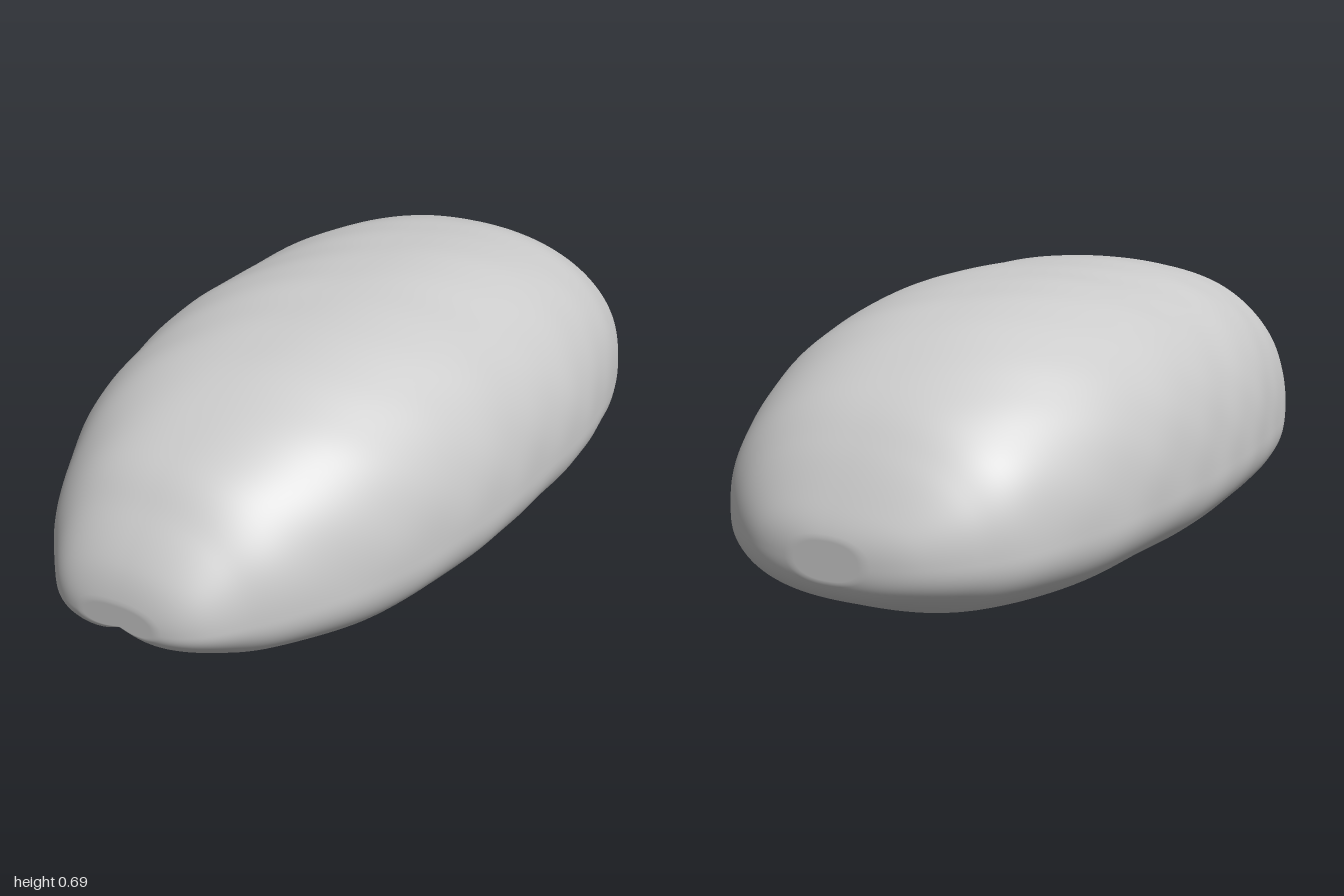
import * as THREE from 'three';

// Stations along the length, front to back: z, half width, top, widest height, bottom
const STATIONS = [
  [1.0, 0, 0.22, 0.215, 0.21],
  [1.0, 0.1, 0.26, 0.215, 0.185],
  [0.97, 0.18, 0.335, 0.22, 0.155],
  [0.9, 0.25, 0.42, 0.225, 0.115],
  [0.8, 0.325, 0.51, 0.23, 0.075],
  [0.6, 0.425, 0.605, 0.235, 0.03],
  [0.4, 0.478, 0.655, 0.24, 0.018],
  [0.2, 0.508, 0.68, 0.245, 0.016],
  [0, 0.518, 0.685, 0.245, 0.014],
  [-0.2, 0.52, 0.685, 0.245, 0.016],
  [-0.4, 0.5, 0.665, 0.24, 0.022],
  [-0.6, 0.46, 0.62, 0.23, 0.02],
  [-0.8, 0.385, 0.515, 0.22, 0.045],
  [-0.9, 0.305, 0.42, 0.21, 0.08],
  [-0.97, 0.2, 0.315, 0.205, 0.115],
  [-1.0, 0.09, 0.25, 0.2, 0.155],
  [-1.0, 0, 0.205, 0.2, 0.195],
];
const ROWS = 128;
const SIDES = 192;

const curveOf = (pick) =>
  new THREE.CatmullRomCurve3(STATIONS.map((s) => new THREE.Vector3(...pick(s))), false, 'catmullrom', 0.5);
const outline = curveOf(([z, w, top]) => [z, w, top]);
const underside = curveOf(([, , , waist, bottom]) => [waist, bottom, 0]);

// Signed power, for superellipse sections
const spow = (v, e) => Math.sign(v) * Math.pow(Math.abs(v), e);
const ramp = THREE.MathUtils.smoothstep;

// Lengthwise crease in the belly, with a low wrinkled lip on its -x side
function bellyOffset(x, z) {
  const centre = 0.055 * (1 - ramp(z, 0.45, 0.95)) - 0.03 * (1 - ramp(z, -0.65, -0.2)) + 0.012 * Math.sin(z * 9);
  const d = x - centre;
  const fade = ramp(z, -0.7, -0.45) * (1 - 0.65 * ramp(z, 0.8, 1.0));
  const width = d > 0 ? 0.04 : 0.055;
  const crease = 0.135 * fade * Math.exp(-Math.pow(Math.abs(d) / width, 1.3));
  const lip = Math.exp(-Math.pow((x + 0.14) / 0.08, 2)) * Math.exp(-Math.pow(z / 0.4, 2));
  return crease - lip * (0.018 + 0.003 * Math.sin(z * 55 + x * 12));
}

// Gentle unevenness of the skin
const ripple = (x, y, z) =>
  0.0025 * Math.sin(9 * x + 5 * z + 1) * Math.sin(11 * y - 7 * z) + 0.001 * Math.sin(31 * z + 13 * x) * Math.sin(27 * y + 8 * x);

function bodyGeometry() {
  const positions = [];
  const index = [];
  for (let r = 0; r <= ROWS; r++) {
    const a = outline.getPoint(r / ROWS);
    const b = underside.getPoint(r / ROWS);
    const z = THREE.MathUtils.clamp(a.x, -1, 1);
    const w = Math.max(a.y, 0);
    const size = Math.min(1, w / 0.25);
    for (let i = 0; i < SIDES; i++) {
      const t = (i / SIDES) * Math.PI * 2;
      const c = Math.cos(t);
      const s = Math.sin(t);
      const e = 2 / 2.3;
      const x = w * spow(c, e);
      let y = b.x + (s > 0 ? a.z - b.x : b.x - b.y) * spow(s, e);
      if (s < 0) y += bellyOffset(x, z) * size * ramp(-s, 0, 0.6);
      const n = 1 + size * ripple(x, y, z) * 2;
      positions.push(x * n, Math.max(y + (s > 0 ? size * s * ripple(x, y, z) : 0), 0), z);
    }
  }
  for (let r = 0; r < ROWS; r++) {
    for (let i = 0; i < SIDES; i++) {
      const j = (i + 1) % SIDES;
      const p = r * SIDES + i;
      const q = r * SIDES + j;
      index.push(p, p + SIDES, q, q, p + SIDES, q + SIDES);
    }
  }
  const geometry = new THREE.BufferGeometry();
  geometry.setAttribute('position', new THREE.Float32BufferAttribute(positions, 3));
  geometry.setIndex(index);
  geometry.computeVertexNormals();
  return geometry;
}

export function createModel() {
  const group = new THREE.Group();
  group.name = 'bean';
  const body = new THREE.Mesh(bodyGeometry(), new THREE.MeshStandardMaterial({ color: 0xcccccc }));
  body.name = 'creasedBody';
  group.add(body);
  return group;
}
